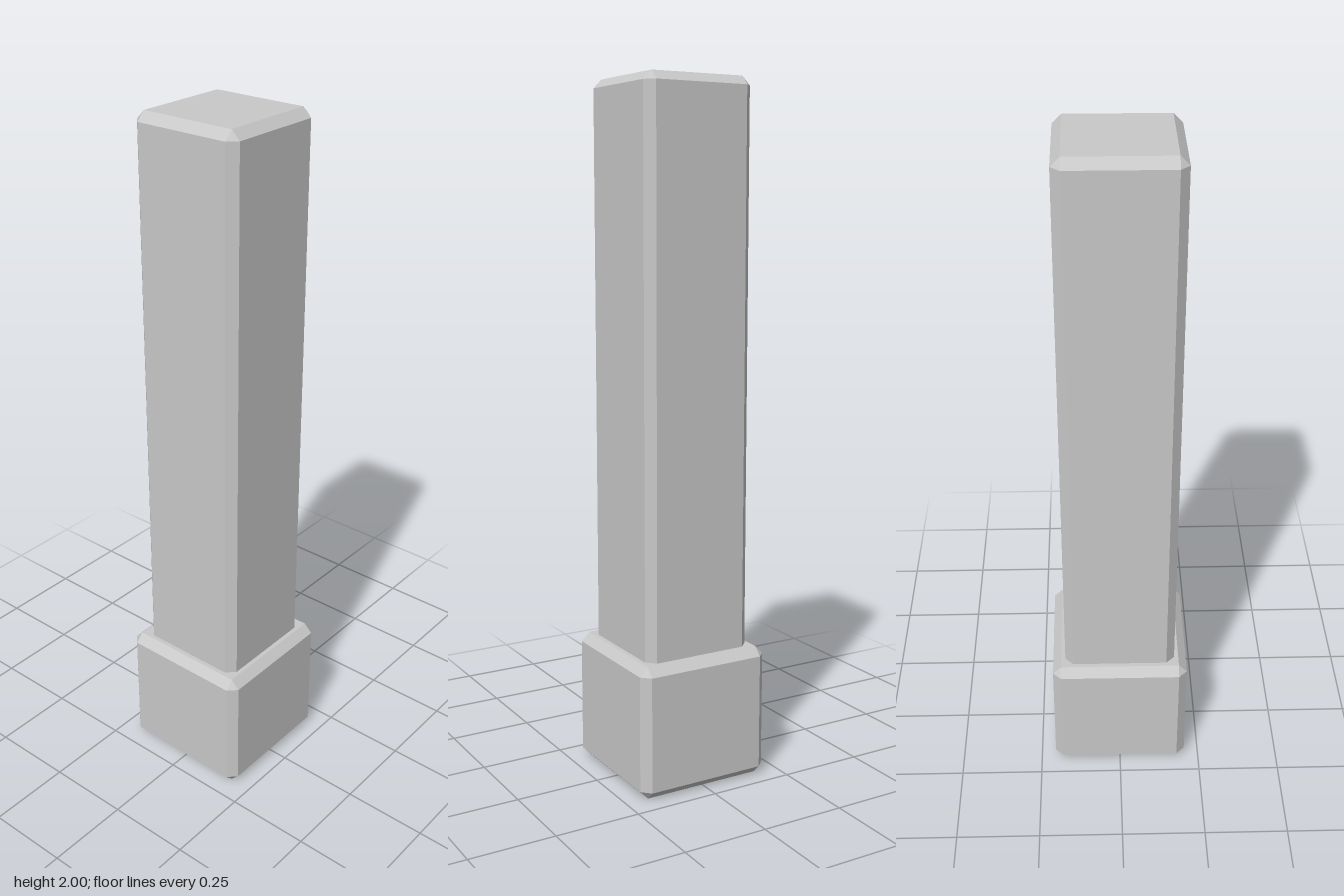
import * as THREE from 'three';
import { ConvexGeometry } from 'three/addons/geometries/ConvexGeometry.js';

const BEVEL = 0.025;

// Box with flat chamfers along every edge and a triangle at each corner,
// standing between heights y0 and y1.
function chamferedBox(half, y0, y1) {
  const size = [half, (y1 - y0) / 2, half];
  const points = [];
  for (const sx of [-1, 1]) for (const sy of [-1, 1]) for (const sz of [-1, 1]) {
    for (let axis = 0; axis < 3; axis++) {
      const p = size.map((s, i) => (i === axis ? s : s - BEVEL));
      points.push(new THREE.Vector3(sx * p[0], sy * p[1], sz * p[2]));
    }
  }
  return new ConvexGeometry(points).translate(0, (y0 + y1) / 2, 0);
}

export function createModel() {
  const group = new THREE.Group();
  group.name = 'pillar';

  const stone = new THREE.MeshStandardMaterial({ color: 0xc8c8c8 });
  stone.name = 'grey stone';

  const addPart = (name, geometry) => {
    const mesh = new THREE.Mesh(geometry, stone);
    mesh.name = name;
    group.add(mesh);
  };

  // Square base block
  addPart('base', chamferedBox(0.205, 0, 0.388));

  // Tall shaft, its lower chamfer sunk into the base
  addPart('shaft', chamferedBox(0.167, 0.35, 2));

  return group;
}
